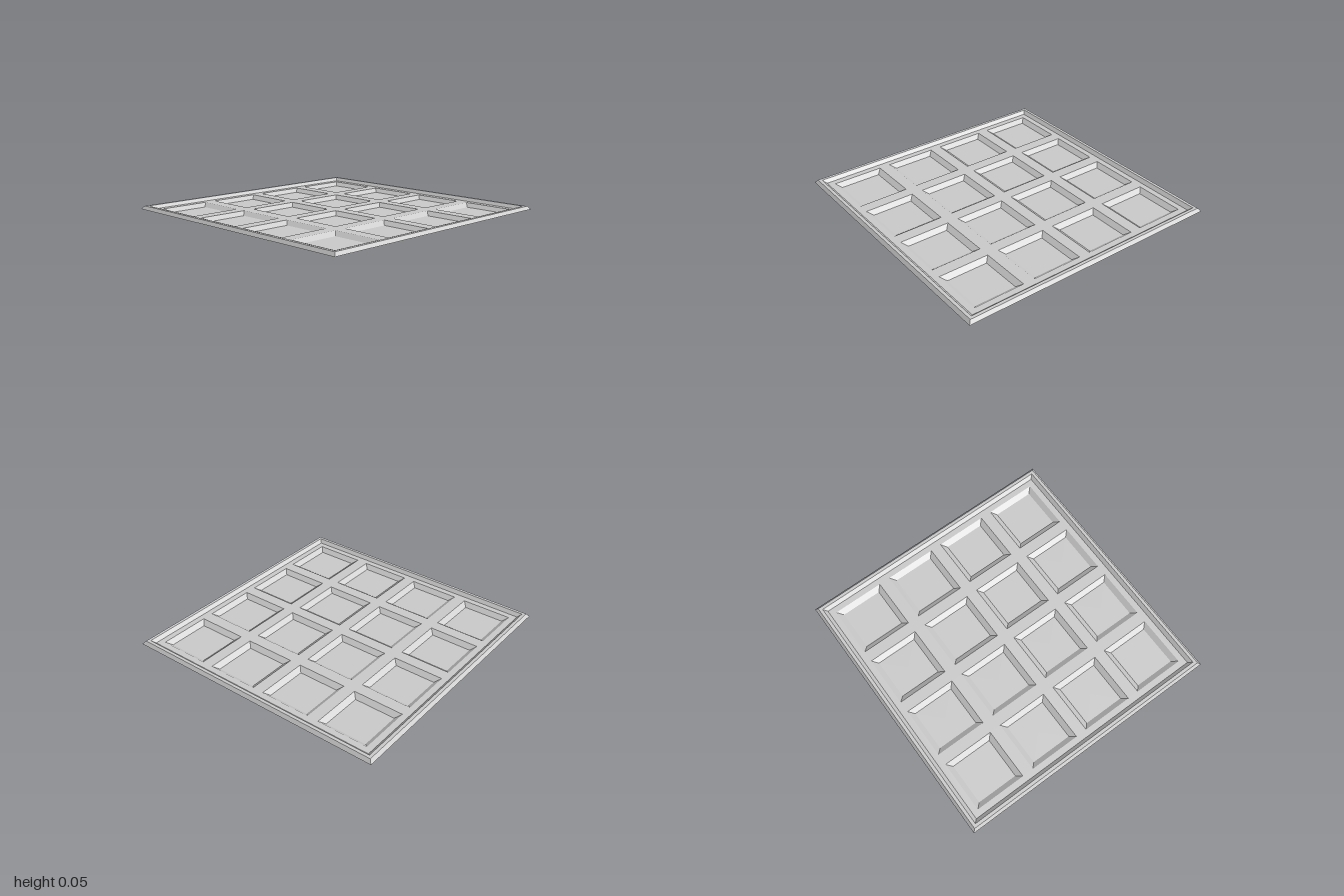
import * as THREE from 'three';

const BASE = 0.027, TOP = 0.05;      // sheet height and rim height
const PITCH = 0.465, N = 4;          // pocket spacing and count per side
const OPEN = 0.19, FLOOR = 0.153;    // pocket half widths at sheet and at bottom

const material = new THREE.MeshStandardMaterial({
  color: 0xcccccc, flatShading: true, side: THREE.DoubleSide,
});

// Square ring surface: [half width, height] points swept round four sides, outside first
function squareSweep(profile) {
  const points = profile.map(([half, y]) => new THREE.Vector2(half * Math.SQRT2, y));
  return new THREE.LatheGeometry(points, 4, Math.PI / 4);
}

function squarePath(path, x, y, half) {
  path.moveTo(x - half, y - half);
  path.lineTo(x + half, y - half);
  path.lineTo(x + half, y + half);
  path.lineTo(x - half, y + half);
  path.closePath();
  return path;
}

export function createModel() {
  const tray = new THREE.Group();
  tray.name = 'tray';

  const add = (name, geometry, x = 0, z = 0) => {
    const mesh = new THREE.Mesh(geometry, material);
    mesh.name = name;
    mesh.position.set(x, 0, z);
    tray.add(mesh);
  };

  // Raised rim: outer slope, flat crest, inner slope
  add('rim', squareSweep([[1, BASE], [0.98, TOP], [0.957, TOP], [0.932, BASE]]));

  // Sunken pockets, each cut through the sheet
  const sheet = squarePath(new THREE.Shape(), 0, 0, 0.932);
  const pocket = squareSweep([[OPEN, BASE], [FLOOR, 0], [0, 0]]);
  for (let i = 0; i < N; i++) {
    for (let j = 0; j < N; j++) {
      const x = (i - (N - 1) / 2) * PITCH;
      const z = (j - (N - 1) / 2) * PITCH;
      sheet.holes.push(squarePath(new THREE.Path(), x, -z, OPEN));
      add(`pocket${i * N + j + 1}`, pocket, x, z);
    }
  }

  // Flat sheet between the pockets
  add('sheet', new THREE.ShapeGeometry(sheet).rotateX(-Math.PI / 2).translate(0, BASE, 0));

  return tray;
}
